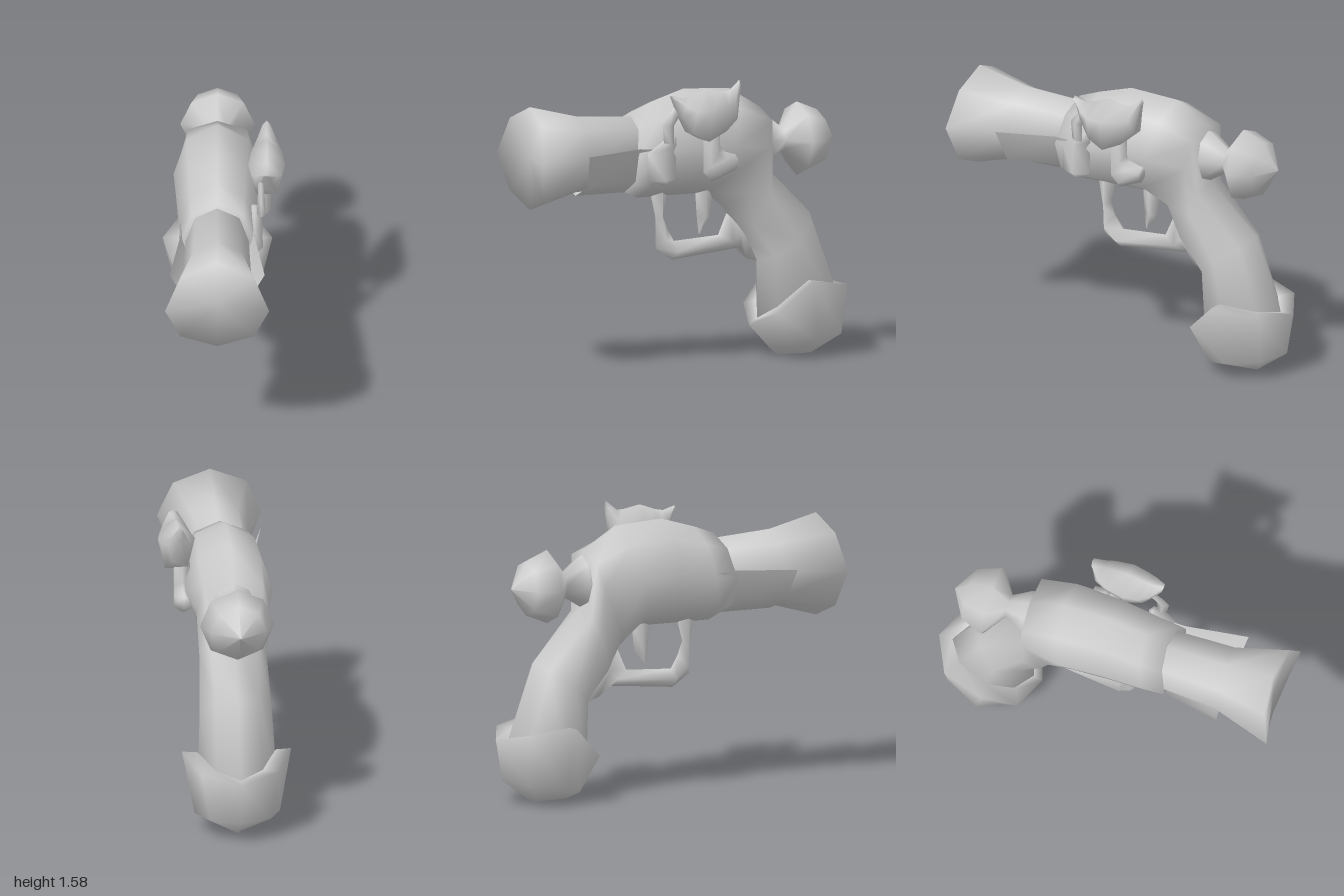
import * as THREE from 'three';

const AXIS = -0.04; // the gun body sits slightly to one side of the lock

// Loft through rings. Each station is [za, ya, zb, yb, halfWidth, bowZ, bowY, pinch]:
// a and b are opposite ends of the ring in the zy plane, bow pushes its sides,
// pinch above 1 narrows the diagonals and below 1 makes them boxier.
// With full = false only the lower half of every ring is made (an open trough).
function loft(name, stations, { sides = 8, x = AXIS, full = true } = {}) {
  const pos = [], idx = [];
  const cols = full ? sides : sides / 2 + 1;
  for (const [za, ya, zb, yb, w, bowZ = 0, bowY = 0, pinch = 1] of stations) {
    for (let j = 0; j < cols; j++) {
      const t = (j / sides) * Math.PI * 2 + (full ? 0 : Math.PI / 2);
      const c = Math.cos(t), s = Math.sin(t), bow = Math.abs(s) ** 3;
      pos.push(
        x + w * Math.sign(s) * Math.abs(s) ** pinch,
        (ya + yb) / 2 + c * (ya - yb) / 2 + bowY * bow,
        (za + zb) / 2 + c * (za - zb) / 2 + bowZ * bow
      );
    }
  }
  const steps = full ? cols : cols - 1;
  for (let i = 0; i < stations.length - 1; i++) {
    for (let j = 0; j < steps; j++) {
      const k = (j + 1) % cols, p = i * cols, q = p + cols;
      idx.push(p + j, p + k, q + j, p + k, q + k, q + j);
    }
  }
  if (full) {
    // end caps
    const last = stations.length - 1;
    for (const i of [0, last]) {
      const [za, ya, zb, yb] = stations[i];
      const centre = pos.length / 3, p = i * cols;
      pos.push(x, (ya + yb) / 2, (za + zb) / 2);
      for (let j = 0; j < cols; j++) {
        const k = (j + 1) % cols;
        if (i === 0) idx.push(centre, p + k, p + j);
        else idx.push(centre, p + j, p + k);
      }
    }
  }
  const geo = new THREE.BufferGeometry();
  geo.setAttribute('position', new THREE.Float32BufferAttribute(pos, 3));
  geo.setIndex(idx);
  geo.computeVertexNormals();
  const mat = new THREE.MeshStandardMaterial({
    color: 0xcccccc,
    side: full ? THREE.FrontSide : THREE.DoubleSide,
  });
  const mesh = new THREE.Mesh(geo, mat);
  mesh.name = name;
  return mesh;
}

// An upright ring across the z axis
const round = (z, y, r, w = r, bow = 0) => [z, y + r, z, y - r, w, bow];

export function createModel() {
  const gun = new THREE.Group();
  gun.name = 'pistol';

  // Flared barrel with a dished muzzle
  gun.add(loft('barrel', [
    round(0.94, 1.19, 0.285, 0.285, 0.06),
    round(0.66, 1.195, 0.21, 0.185),
    round(0.3, 1.19, 0.19, 0.17),
  ]));

  // Open trough under the barrel
  gun.add(loft('foreStock', [
    [0.71, 1.465, 0.66, 0.965, 0.26, 0.02],
    [0.37, 1.495, 0.36, 0.965, 0.2],
    [0.25, 1.49, 0.25, 0.95, 0.2],
  ], { full: false }));

  // Body curving down into the grip
  gun.add(loft('bodyAndGrip', [
    [0.32, 1.41, 0.36, 0.965, 0.2, 0.03],
    [0.2, 1.455, 0.29, 0.93, 0.21],
    [0.0, 1.515, 0.04, 0.93, 0.225],
    [-0.28, 1.497, -0.14, 0.93, 0.24],
    [-0.47, 1.38, -0.25, 0.83, 0.2, -0.07, 0.08, 0.6],
    [-0.49, 1.06, -0.33, 0.67, 0.185, -0.04, 0.05],
    [-0.77, 0.78, -0.45, 0.53, 0.198, 0, 0, 1.4],
    [-0.945, 0.3, -0.45, 0.2, 0.22, 0, 0, 1.5],
  ]));

  // Bowl-shaped cap with raised side points and a ledge around the grip
  gun.add(loft('buttCap', [
    [-0.92, 0.365, -0.45, 0.215, 0.22, 0.03, 0.15, 1.5],
    [-1.0, 0.365, -0.4, 0.18, 0.3, 0.05, 0.17],
    [-0.96, 0.13, -0.52, 0.05, 0.235, 0.04, 0.01],
    [-0.78, 0.003, -0.57, 0.005, 0.015],
  ]));

  // Rear knob on a pinched neck
  gun.add(loft('hammerKnob', [
    round(-0.4, 1.205, 0.14, 0.11),
    round(-0.485, 1.205, 0.145, 0.125),
    round(-0.595, 1.195, 0.067),
    round(-0.69, 1.192, 0.204),
    round(-0.815, 1.192, 0.153),
    round(-0.905, 1.192, 0.005),
  ]));

  // Trigger guard: a is the inner edge, b the outer edge
  gun.add(loft('triggerGuard', [
    [0.09, 0.98, 0.21, 0.98, 0.045],
    [0.13, 0.82, 0.17, 0.8, 0.05],
    [0.1, 0.745, 0.17, 0.64, 0.07],
    [0.06, 0.675, 0.07, 0.572, 0.07],
    [-0.21, 0.69, -0.35, 0.613, 0.05],
    [-0.28, 0.85, -0.38, 0.55, 0.05],
    [-0.38, 0.78, -0.45, 0.53, 0.05],
  ], { sides: 4 }));

  gun.add(loft('trigger', [
    [-0.18, 0.95, -0.07, 0.95, 0.035],
    [-0.16, 0.79, -0.08, 0.8, 0.03],
    [-0.1, 0.71, -0.09, 0.705, 0.01],
  ], { sides: 4 }));

  // Lock on the left side
  const lock = new THREE.Group();
  lock.name = 'lock';
  lock.add(
    loft('cockHead', [
      [0.21, 1.525, 0.2, 1.5, 0.025],
      [0.14, 1.505, 0.16, 1.4, 0.065],
      [0.09, 1.515, 0.1, 1.29, 0.09],
      [0.0, 1.548, 0.01, 1.235, 0.107],
      [-0.1, 1.53, -0.1, 1.29, 0.09],
      [-0.14, 1.53, -0.18, 1.36, 0.065],
      [-0.205, 1.585, -0.2, 1.5, 0.025],
    ], { sides: 5, x: 0.23 }),
    loft('cockArm', [
      [-0.1, 1.34, 0.0, 1.3, 0.05],
      [-0.1, 1.22, 0.0, 1.08, 0.05],
      [-0.13, 1.19, -0.05, 1.03, 0.055],
      [-0.195, 1.17, -0.19, 1.08, 0.045],
    ], { sides: 6, x: 0.205 }),
    loft('frizzen', [
      [0.145, 1.28, 0.19, 1.29, 0.03],
      [0.145, 1.24, 0.32, 1.205, 0.04],
      [0.155, 1.05, 0.315, 1.05, 0.045],
      [0.19, 1.03, 0.23, 1.02, 0.03],
    ], { sides: 4, x: 0.165 }),
    loft('frizzenSpring', [
      [0.12, 1.44, 0.18, 1.45, 0.015],
      [0.18, 1.35, 0.25, 1.36, 0.02],
      [0.18, 1.25, 0.24, 1.26, 0.025],
    ], { sides: 4, x: 0.2 })
  );
  gun.add(lock);

  return gun;
}
